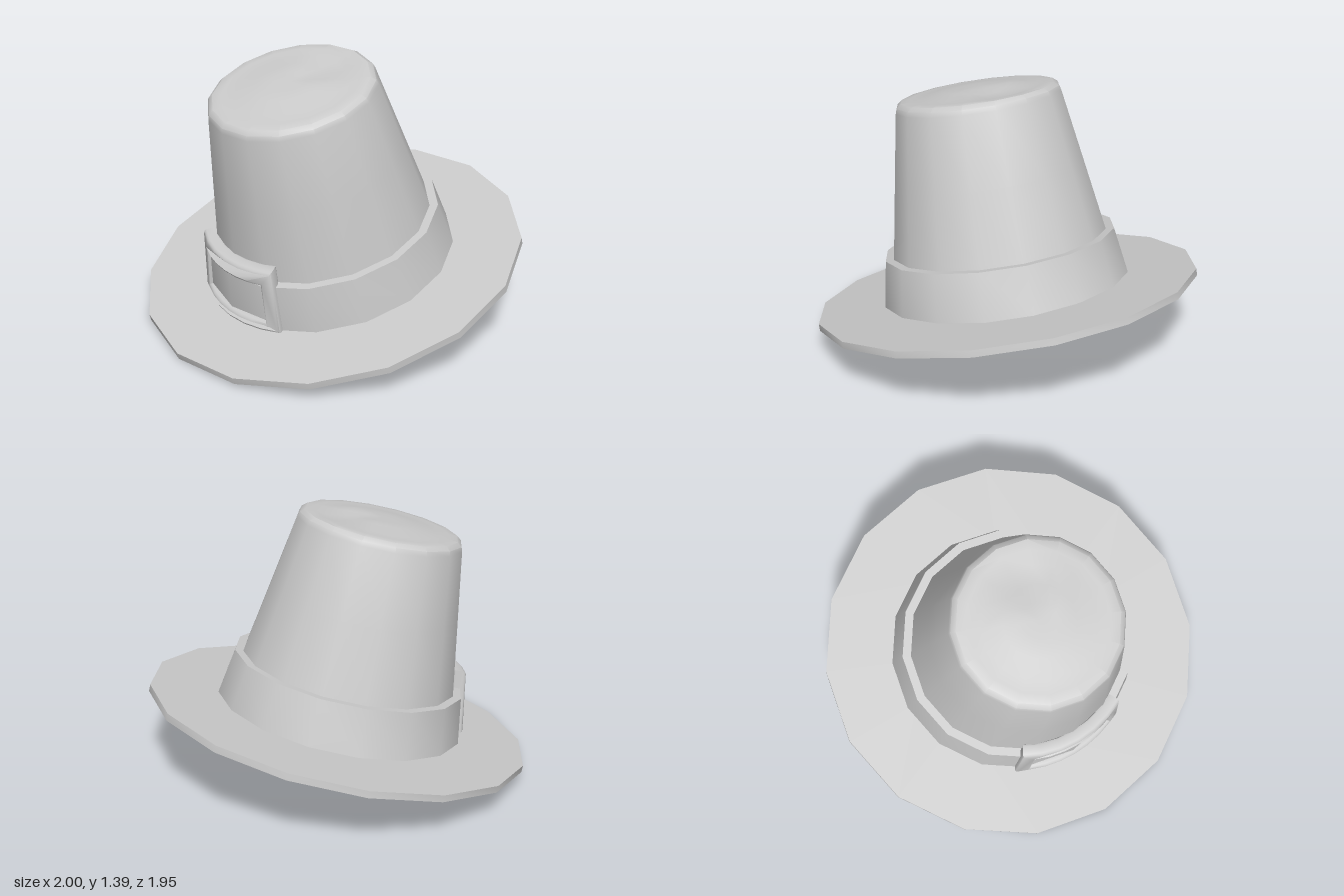
import * as THREE from 'three';
import { toCreasedNormals } from 'three/addons/utils/BufferGeometryUtils.js';

const SIDES = 16;
const material = new THREE.MeshStandardMaterial({ color: 0xcccccc, side: THREE.DoubleSide });

function addMesh(group, name, geometry, crease = 0.6) {
  const mesh = new THREE.Mesh(toCreasedNormals(geometry, crease), material);
  mesh.name = name;
  group.add(mesh);
  return mesh;
}

function lathe(profile) {
  return new THREE.LatheGeometry(profile.map(([r, y]) => new THREE.Vector2(r, y)), SIDES);
}

// Rectangle outline, with its long edges divided so it can be bent
function outline(halfWidth, bottom, top, steps = 6) {
  const points = [];
  for (let i = 0; i <= steps; i++) {
    points.push(new THREE.Vector2(-halfWidth + (2 * halfWidth * i) / steps, bottom));
  }
  for (let i = steps; i >= 0; i--) {
    points.push(new THREE.Vector2(-halfWidth + (2 * halfWidth * i) / steps, top));
  }
  return points;
}

// Crown with a rounded shoulder and a slightly raised, dented top
function crownGeometry() {
  const geometry = lathe([
    [0.605, 0], [0.56, 0.29], [0.497, 0.65], [0.432, 1.02], [0.424, 1.045], [0.4, 1.064],
    [0.35, 1.068], [0.28, 1.068], [0.18, 1.088], [0.09, 1.09], [0, 1.09],
  ]);
  const p = geometry.attributes.position;
  for (let i = 0; i < p.count; i++) {
    if (p.getY(i) < 1.066) continue;
    const d = Math.hypot(p.getX(i) - 0.04, p.getZ(i) + 0.2);
    p.setY(i, p.getY(i) - 0.03 * Math.max(0, 1 - d / 0.16));
  }
  return geometry;
}

// Buckle frame, bent around the cone of the band
function buckleGeometry() {
  const shape = new THREE.Shape(outline(0.335, 0.035, 0.37));
  shape.holes.push(new THREE.Path(outline(0.256, 0.085, 0.29).reverse()));
  const bevel = 0.014;
  const geometry = new THREE.ExtrudeGeometry(shape, {
    depth: 0.07 - 2 * bevel, bevelEnabled: true, bevelThickness: bevel,
    bevelSize: bevel, bevelOffset: -bevel, bevelSegments: 2,
  });
  const p = geometry.attributes.position;
  for (let i = 0; i < p.count; i++) {
    const angle = p.getX(i) / 0.66;
    const y = p.getY(i);
    const r = 0.632 - 0.18 * y + p.getZ(i) - bevel;
    p.setXYZ(i, r * Math.sin(angle), y, r * Math.cos(angle));
  }
  return geometry;
}

export function createModel() {
  const hat = new THREE.Group();
  hat.name = 'hat';

  addMesh(hat, 'brim', lathe([[0.53, -0.018], [1, -0.018], [1, 0.018], [0.59, 0.018]]));
  addMesh(hat, 'crown', crownGeometry());

  // Shallow hollow under the hat
  addMesh(hat, 'lining', lathe([[0, 0.45], [0.42, 0.45], [0.53, -0.018]]));

  // Band around the foot of the crown
  addMesh(hat, 'band', lathe([[0.59, 0.035], [0.647, 0.035], [0.606, 0.275], [0.555, 0.275]]));
  addMesh(hat, 'buckle', buckleGeometry(), 0.8);

  // The hat tips forward, resting on the front edge of the brim
  hat.rotation.x = 0.2443;
  hat.position.y = 0.2594;

  const model = new THREE.Group();
  model.add(hat);
  return model;
}
